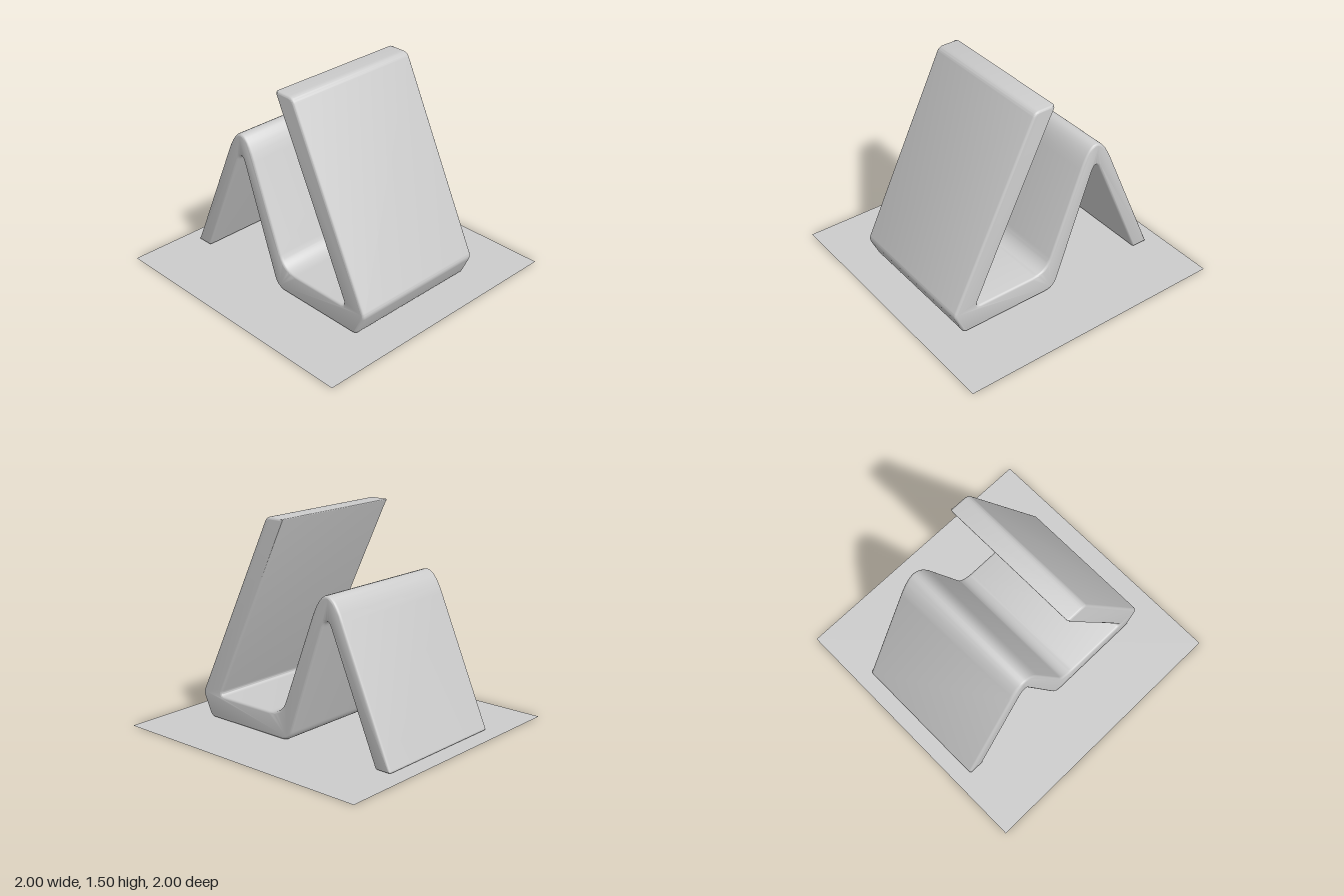
import * as THREE from 'three';
import { toCreasedNormals } from 'three/addons/utils/BufferGeometryUtils.js';

const WIDTH = 1.05;

// Closed outline whose corners [z, y, radius] are rounded by quadratic curves
function roundedOutline(corners) {
  const shape = new THREE.Shape();
  const n = corners.length;
  const point = (i) => new THREE.Vector2(corners[(i + n) % n][0], corners[(i + n) % n][1]);
  for (let i = 0; i < n; i++) {
    const c = point(i), r = corners[i][2];
    const toward = (p) => p.sub(c).setLength(r).add(c);
    const a = toward(point(i - 1)), b = toward(point(i + 1));
    if (i === 0) shape.moveTo(a.x, a.y);
    else shape.lineTo(a.x, a.y);
    shape.quadraticCurveTo(c.x, c.y, b.x, b.y);
  }
  shape.closePath();
  return shape;
}

export function createModel() {
  const group = new THREE.Group();
  const material = new THREE.MeshStandardMaterial({ color: 0xcccccc });

  // Side profile of the bent band: front rest, floor, hump and rear leg
  const profile = roundedOutline([
    [0.725, 0.005, 0.03],   // front bottom edge
    [0.803, 0.172, 0.03],   // front knee
    [0.157, 1.497, 0.04],   // top of the rest, front
    [0.0, 1.497, 0.012],    // top of the rest, back
    [0.627, 0.178, 0.04],   // inside corner of the rest
    [0.045, 0.178, 0.11],   // inside corner of the hump
    [-0.356, 1.215, 0.34],  // outer crest
    [-0.888, 0.006, 0.018], // rear foot, back
    [-0.765, 0.006, 0.015], // rear foot, front
    [-0.362, 0.93, 0.09],   // inner crest
    [-0.033, 0.005, 0.08],  // floor bend
  ]);
  const edge = 0.022;
  const geometry = new THREE.ExtrudeGeometry(profile, {
    depth: WIDTH - 2 * edge,
    curveSegments: 12,
    bevelEnabled: true,
    bevelThickness: edge,
    bevelSize: 0.018,
    bevelOffset: -0.018,
    bevelSegments: 5,
  });
  geometry.translate(0, 0, -(WIDTH - 2 * edge) / 2);
  geometry.rotateY(-Math.PI / 2);
  const stand = new THREE.Mesh(toCreasedNormals(geometry, 0.6), material);
  stand.name = 'bentStand';
  group.add(stand);

  // Thin square sheet under the stand
  const sheet = new THREE.Mesh(
    new THREE.PlaneGeometry(2, 2).rotateX(-Math.PI / 2),
    new THREE.MeshStandardMaterial({ color: 0xcccccc, side: THREE.DoubleSide })
  );
  sheet.name = 'baseSheet';
  group.add(sheet);

  return group;
}
